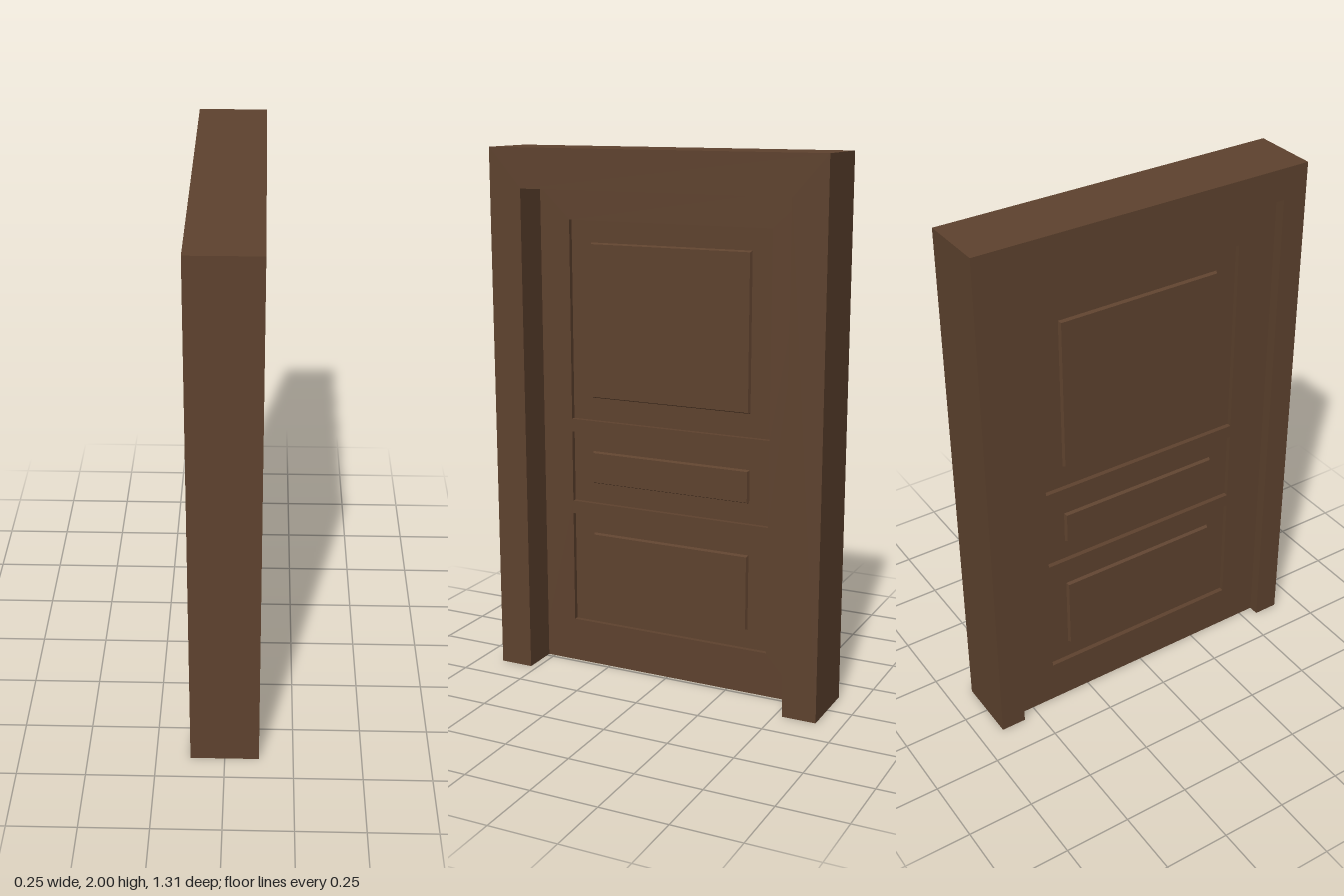
import * as THREE from 'three';

const wood = new THREE.MeshStandardMaterial({ color: 0x5e422e });
wood.name = 'darkWood';

const W = 0.656, H = 2; // half width and height of the frame
const FRONT = -0.015, BACK = -0.085; // faces of the door leaf along x
const MID = (FRONT + BACK) / 2;

// Bottom and top of each sunken field, then of its raised panel
const panels = [
  { name: 'upper', field: [0.98, 1.735], raised: [1.06, 1.66] },
  { name: 'middle', field: [0.655, 0.93], raised: [0.725, 0.865] },
  { name: 'lower', field: [0.17, 0.605], raised: [0.235, 0.54] },
];
const FIELD_W = 0.405, RAISED_W = 0.33;

function add(group, name, geometry) {
  const mesh = new THREE.Mesh(geometry, wood);
  mesh.name = name;
  group.add(mesh);
  return mesh;
}

function rectangle(Path, halfWidth, y0, y1) {
  return new Path([
    new THREE.Vector2(-halfWidth, y0), new THREE.Vector2(halfWidth, y0),
    new THREE.Vector2(halfWidth, y1), new THREE.Vector2(-halfWidth, y1),
  ]);
}

// Extrudes an outline drawn in the door plane from x0 to x1
function extrudeAcross(shape, x0, x1) {
  const g = new THREE.ExtrudeGeometry(shape, { depth: x1 - x0, bevelEnabled: false });
  g.rotateY(Math.PI / 2);
  g.translate(x0, 0, 0);
  return g;
}

// Two jambs and a head in one arch-shaped outline
function frameOutline(openHalf, openTop) {
  return new THREE.Shape([
    [-W, 0], [-openHalf, 0], [-openHalf, openTop], [openHalf, openTop],
    [openHalf, 0], [W, 0], [W, H], [-W, H],
  ].map(([x, y]) => new THREE.Vector2(x, y)));
}

// Block whose two outer faces shrink by the bevel width
function bevelledPanel(thickness, height, width, bevel) {
  const g = new THREE.BoxGeometry(thickness, height, width, 2, 1, 1);
  const p = g.attributes.position;
  for (let i = 0; i < p.count; i++) {
    if (Math.abs(p.getX(i)) > 1e-4) {
      p.setY(i, p.getY(i) - Math.sign(p.getY(i)) * bevel);
      p.setZ(i, p.getZ(i) - Math.sign(p.getZ(i)) * bevel);
    }
  }
  const flat = g.toNonIndexed();
  flat.computeVertexNormals();
  return flat;
}

export function createModel() {
  const model = new THREE.Group();
  model.name = 'panelledDoor';

  // Frame: deep reveal on one side, wider rebate holding the leaf on the other
  const frame = new THREE.Group();
  frame.name = 'doorFrame';
  add(frame, 'frameReveal', extrudeAcross(frameOutline(0.527, 1.853), FRONT, 0.125));
  add(frame, 'frameRebate', extrudeAcross(frameOutline(0.56, 1.882), -0.125, FRONT));
  model.add(frame);

  // Leaf: stiles and rails with an opening for each panel
  const leaf = new THREE.Group();
  leaf.name = 'doorLeaf';
  const outline = rectangle(THREE.Shape, 0.56, 0, 1.882);
  panels.forEach((p) => outline.holes.push(rectangle(THREE.Path, FIELD_W, ...p.field)));
  add(leaf, 'stilesAndRails', extrudeAcross(outline, BACK, FRONT));

  // Sunken fields with bevelled raised panels on both faces
  for (const { name, field, raised } of panels) {
    add(leaf, name + 'Field', new THREE.BoxGeometry(0.034, field[1] - field[0], FIELD_W * 2))
      .position.set(MID, (field[0] + field[1]) / 2, 0);
    add(leaf, name + 'RaisedPanel', bevelledPanel(0.058, raised[1] - raised[0], RAISED_W * 2, 0.012))
      .position.set(MID, (raised[0] + raised[1]) / 2, 0);
  }
  model.add(leaf);
  return model;
}
